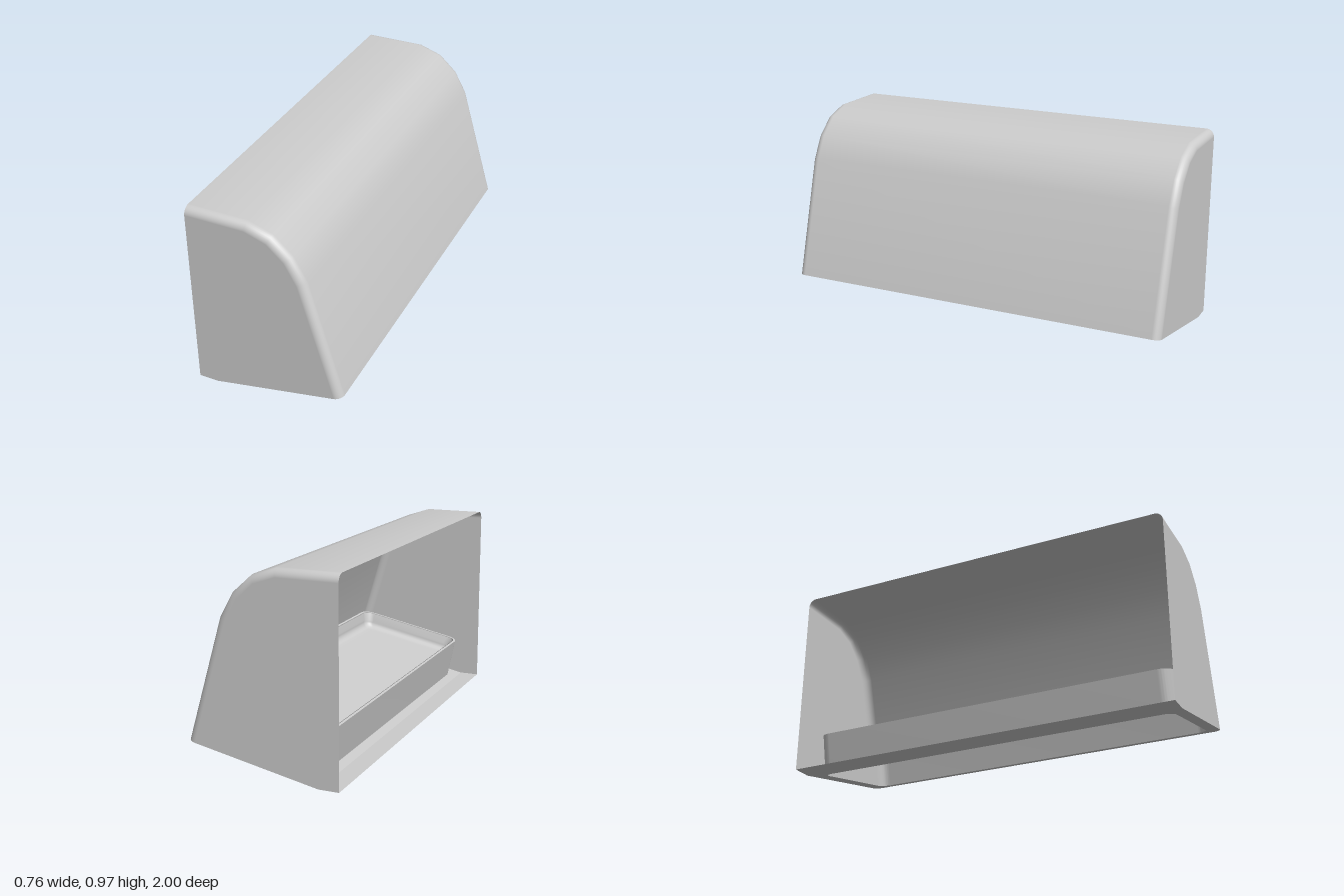
import * as THREE from 'three';
import { toCreasedNormals } from 'three/addons/utils/BufferGeometryUtils.js';

const material = new THREE.MeshStandardMaterial({ color: 0xcccccc, side: THREE.DoubleSide });

// Side profile of the housing, from the top back edge to the lower front lip
const PROFILE = [[-0.38, 0.97], [-0.075, 0.97], [0.045, 0.93], [0.14, 0.845], [0.205, 0.73], [0.38, 0.135]]
  .map(([x, y]) => new THREE.Vector2(x, y));
const HINGE = new THREE.Vector2(-0.28, 0); // where the flat base strip meets the sloped frame
const BACK = -0.38;
const R = 0.04; // fillet radius of the end edges
const slope = PROFILE.at(-1).clone().sub(HINGE);
const slopeLength = slope.length();
const slopeAngle = slope.angle();

function addMesh(parent, name, geometry) {
  const mesh = new THREE.Mesh(geometry, material);
  mesh.name = name;
  parent.add(mesh);
  return mesh;
}

function meshGrid(positions, index, normals) {
  const g = new THREE.BufferGeometry();
  g.setAttribute('position', new THREE.Float32BufferAttribute(positions, 3));
  g.setIndex(index);
  if (normals) g.setAttribute('normal', new THREE.Float32BufferAttribute(normals, 3));
  else g.computeVertexNormals();
  return g;
}

function roundedRect(PathClass, cx, hw, hh, r) {
  const p = new PathClass();
  p.absarc(cx + hw - r, hh - r, r, 0, Math.PI / 2);
  p.absarc(cx - hw + r, hh - r, r, Math.PI / 2, Math.PI);
  p.absarc(cx - hw + r, -hh + r, r, Math.PI, Math.PI * 1.5);
  p.absarc(cx + hw - r, -hh + r, r, Math.PI * 1.5, Math.PI * 2);
  p.closePath();
  return p;
}

// Smooth outward normals along the profile
const normals = PROFILE.map((p, i) => {
  const a = PROFILE[Math.max(i - 1, 0)], b = PROFILE[Math.min(i + 1, PROFILE.length - 1)];
  const before = p.clone().sub(a).normalize(), after = b.clone().sub(p).normalize();
  const t = before.add(after).normalize();
  return new THREE.Vector2(-t.y, t.x);
});

// Profile moved inwards, its ends sliding along the back plane and the frame plane
function insetProfile(d) {
  const last = PROFILE.length - 1;
  return PROFILE.map((p, i) => {
    const dir = i === last ? slope.clone().normalize() : normals[i];
    return p.clone().addScaledVector(dir, -d);
  });
}

// Curved cover with filleted ends, swept along z
function coverGeometry() {
  const steps = 8, rows = [];
  for (let s = 0; s <= steps; s++) rows.push([-1, (1 - s / steps) * Math.PI / 2]);
  for (let s = 0; s <= steps; s++) rows.push([1, (s / steps) * Math.PI / 2]);
  const pos = [], nor = [], index = [], n = PROFILE.length;
  rows.forEach(([side, a], j) => {
    const z = side * (1 - R + R * Math.sin(a));
    insetProfile(R * (1 - Math.cos(a))).forEach((p, i) => {
      pos.push(p.x, p.y, z);
      nor.push(normals[i].x * Math.cos(a), normals[i].y * Math.cos(a), side * Math.sin(a));
      if (j < rows.length - 1 && i < n - 1) {
        const k = j * n + i;
        index.push(k, k + n, k + 1, k + 1, k + n, k + n + 1);
      }
    });
  });
  return meshGrid(pos, index, nor);
}

// Shallow dish made of shrinking rounded-rectangle loops
function dishGeometry(cx, hw, hh, r) {
  const levels = [[0.004, 0.208], [0.018, 0.17]];
  for (let s = 1; s <= 6; s++) {
    const a = (s / 6) * Math.PI / 2;
    levels.push([0.018 + 0.04 * (1 - Math.cos(a)), 0.17 - 0.04 * Math.sin(a)]);
  }
  levels.push([0.08, 0.13], [0.14, 0.13]);
  const pos = [], index = [];
  let n = 0;
  levels.forEach(([d, y], j) => {
    const loop = roundedRect(THREE.Path, cx, hw - d, hh - d, Math.max(r - d * 0.4, 0.015)).getPoints(8);
    loop.pop();
    n = loop.length;
    loop.forEach((p, i) => {
      pos.push(p.x, y, -p.y);
      const a = j * n + i, b = j * n + (i + 1) % n;
      if (j < levels.length - 1) index.push(a, b, a + n, b, b + n, a + n);
      else index.push(a, b, levels.length * n);
    });
  });
  pos.push(cx, 0.13, 0);
  return meshGrid(pos, index);
}

export function createModel() {
  const model = new THREE.Group();
  model.name = 'wallLight';

  addMesh(model, 'cover', coverGeometry());

  // Flat ends of the housing
  const capShape = new THREE.Shape([...insetProfile(R), HINGE, new THREE.Vector2(BACK, 0)]);
  for (const side of [1, -1]) {
    const cap = addMesh(model, side > 0 ? 'frontEnd' : 'backEnd', new THREE.ShapeGeometry(capShape));
    cap.position.z = side;
    cap.scale.z = side;
  }

  // Flat strip under the back edge
  const strip = addMesh(model, 'baseStrip', new THREE.PlaneGeometry(HINGE.x - BACK, 2).rotateX(Math.PI / 2));
  strip.position.x = (HINGE.x + BACK) / 2;

  // Sloped underside holding the light opening
  const underside = new THREE.Group();
  underside.name = 'underside';
  underside.position.set(HINGE.x, HINGE.y, 0);
  underside.rotation.z = slopeAngle;
  model.add(underside);

  const cx = 0.35, hw = 0.288, hh = 0.94, r = 0.05;
  const frame = new THREE.Shape();
  frame.moveTo(0, -1);
  frame.lineTo(slopeLength - R, -1);
  frame.absarc(slopeLength - R, -1 + R, R, -Math.PI / 2, 0);
  frame.absarc(slopeLength - R, 1 - R, R, 0, Math.PI / 2);
  frame.lineTo(0, 1);
  frame.closePath();
  frame.holes.push(roundedRect(THREE.Path, cx, hw, hh, r));
  addMesh(underside, 'frame', new THREE.ShapeGeometry(frame, 8).rotateX(Math.PI / 2));

  // Upright collar around the opening
  const collar = roundedRect(THREE.Shape, cx, hw + 0.012, hh + 0.012, r + 0.012);
  collar.holes.push(roundedRect(THREE.Path, cx, hw, hh, r));
  const collarGeometry = new THREE.ExtrudeGeometry(collar, { depth: 0.209, bevelEnabled: false, curveSegments: 8 });
  collarGeometry.rotateX(-Math.PI / 2).translate(0, 0.001, 0);
  addMesh(underside, 'collar', toCreasedNormals(collarGeometry, 0.6));

  // Diffuser dish resting in the collar
  addMesh(underside, 'diffuser', dishGeometry(cx, hw, hh, r));

  return model;
}
